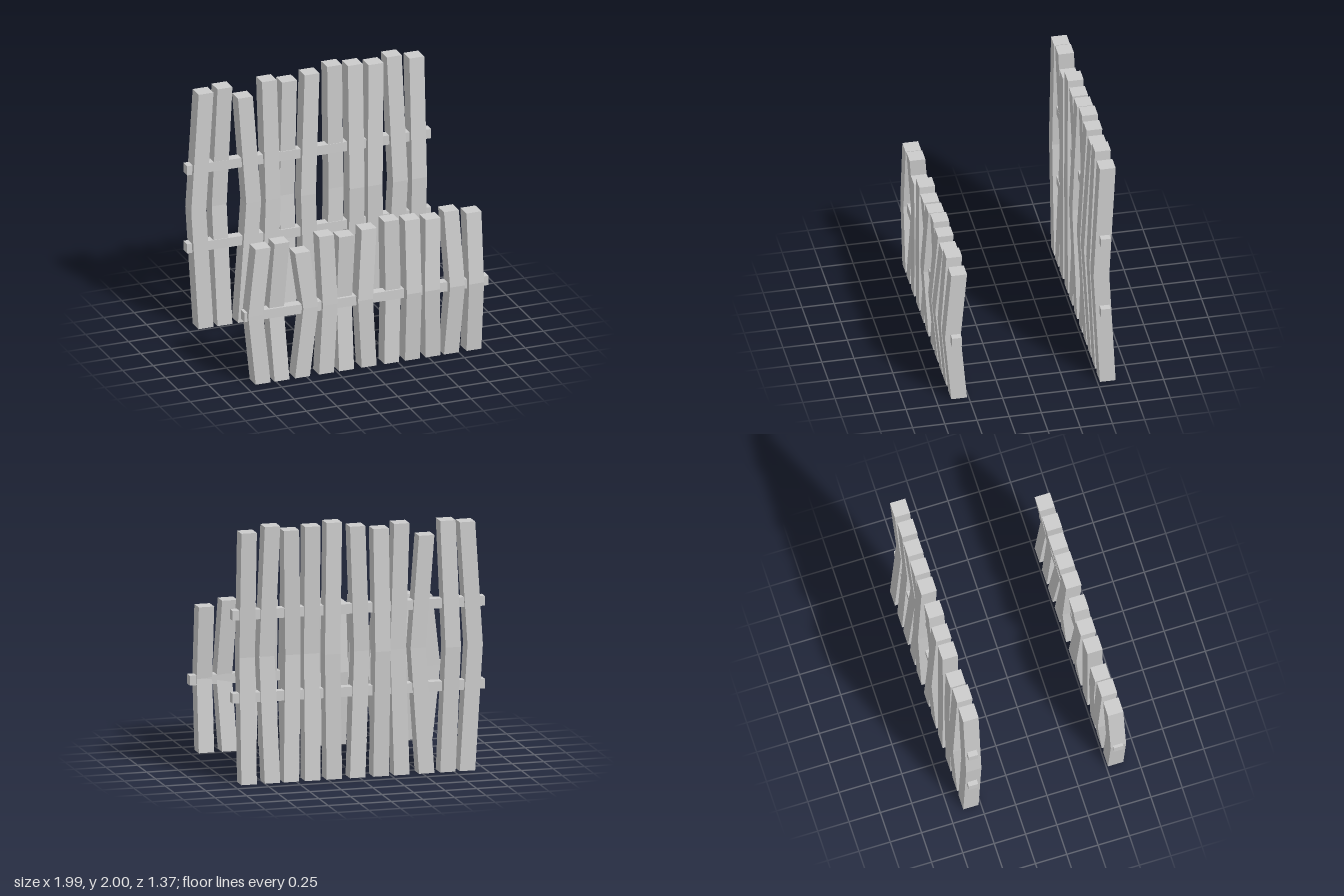
import * as THREE from 'three';

const material = new THREE.MeshStandardMaterial({ color: 0xcccccc, flatShading: true });

// Each plank: [x of its foot, sideways bow, forward bow, change in height]
const PLANKS = [
  [-0.855, -0.062, 0.003, -0.02],
  [-0.70, -0.03, -0.042, 0],
  [-0.532, 0.064, 0.01, -0.105],
  [-0.335, 0.027, 0.01, 0],
  [-0.17, -0.005, -0.038, -0.03],
  [0.015, -0.042, 0.03, 0],
  [0.20, 0.02, -0.022, 0.04],
  [0.37, -0.005, 0.05, 0.02],
  [0.54, -0.027, 0.05, 0],
  [0.69, 0.03, 0.05, 0.04],
  [0.875, 0.002, 0.05, 0],
];
const WIDTH = 0.122;

// Square plank that bows out at the middle of the fence
function makePlank(height, [x, bowX, bowZ, extra]) {
  const geometry = new THREE.BoxGeometry(WIDTH, height, WIDTH, 1, 2, 1);
  geometry.translate(0, height / 2, 0);
  const p = geometry.attributes.position;
  for (let i = 0; i < p.count; i++) {
    const y = p.getY(i);
    if (y > height * 0.75) p.setY(i, height + extra);
    else if (y > height * 0.25) {
      p.setX(i, p.getX(i) + bowX);
      p.setZ(i, p.getZ(i) + bowZ);
    }
  }
  geometry.computeVertexNormals();
  const plank = new THREE.Mesh(geometry, material);
  plank.name = 'plank';
  plank.position.x = x;
  return plank;
}

// Row of planks joined by slightly skewed cross rails
function makeFence(name, height, z, railHeights, railZ, skew) {
  const fence = new THREE.Group();
  fence.name = name;
  fence.position.z = z;
  for (const data of PLANKS) fence.add(makePlank(height, data));
  for (const y of railHeights) {
    const rail = new THREE.Mesh(new THREE.BoxGeometry(1.99, 0.076, 0.076), material);
    rail.name = 'rail';
    rail.position.set(-0.003, y, railZ);
    rail.rotation.y = -skew;
    fence.add(rail);
  }
  return fence;
}

export function createModel() {
  const model = new THREE.Group();
  model.name = 'fences';
  model.add(
    makeFence('shortFrontFence', 1.137, 0.574, [0.558], 0.013, 0.016),
    makeFence('tallBackFence', 1.96, -0.58, [0.667, 1.313], 0.01, 0.016),
  );
  return model;
}
